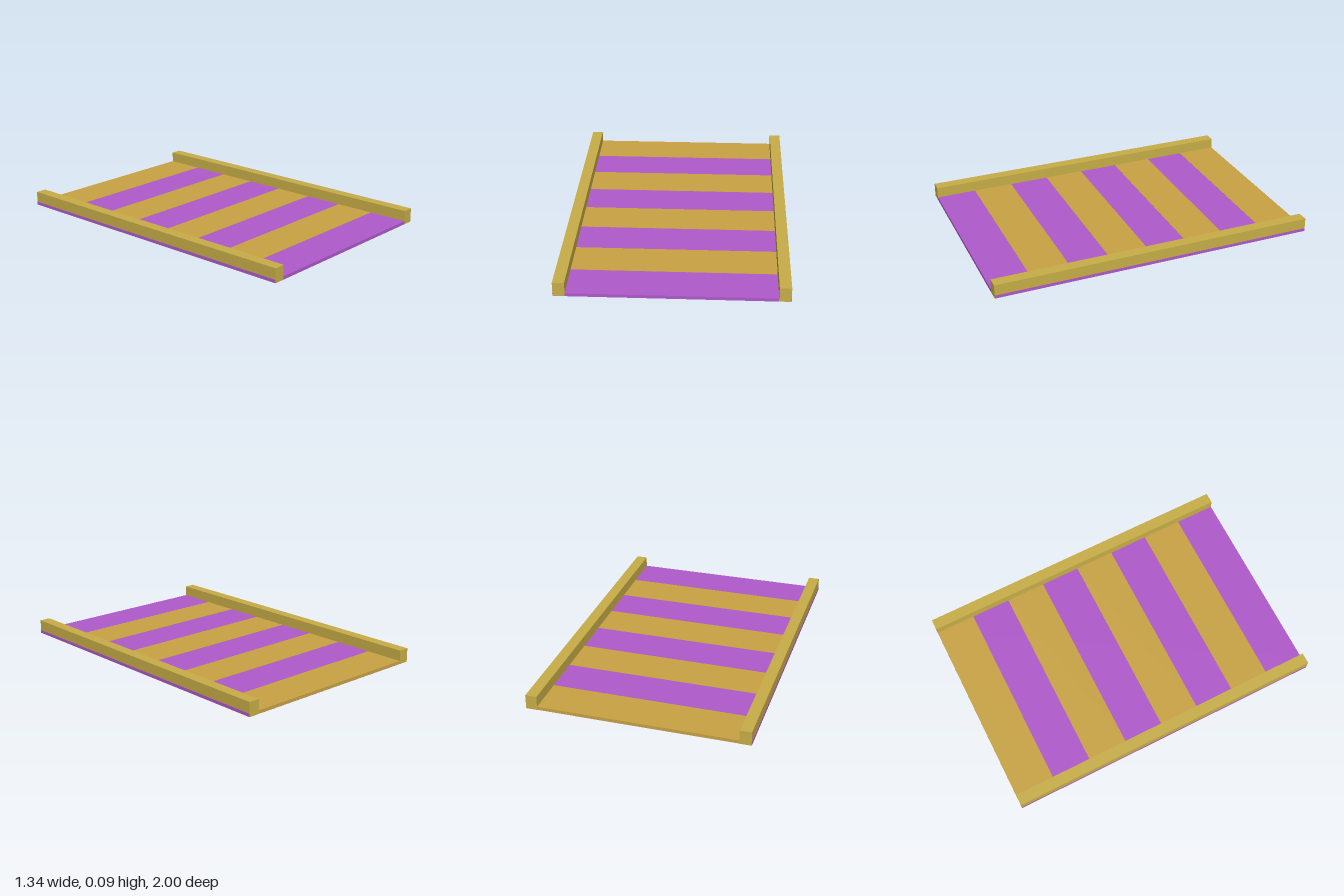
import * as THREE from 'three';

const purple = new THREE.MeshStandardMaterial({ color: 0xaf5acb });
const orange = new THREE.MeshStandardMaterial({ color: 0xc9a344 });
const yellow = new THREE.MeshStandardMaterial({ color: 0xc8ae48 });

// Box given by its lower and upper corners
function box(name, material, [x0, y0, z0], [x1, y1, z1]) {
  const mesh = new THREE.Mesh(new THREE.BoxGeometry(x1 - x0, y1 - y0, z1 - z0), material);
  mesh.position.set((x0 + x1) / 2, (y0 + y1) / 2, (z0 + z1) / 2);
  mesh.name = name;
  return mesh;
}

export function createModel() {
  const group = new THREE.Group();
  group.name = 'stripedPanel';

  const inner = 0.6, outer = 0.67, deck = 0.02, railTop = 0.087;

  // Flat deck between the rails
  group.add(box('deck', purple, [-inner, 0, -0.999], [inner, deck, 1]));

  // Four crosswise stripes laid into the deck
  for (let i = 0; i < 4; i++) {
    const z = -1 + i * 0.5;
    group.add(box('stripe' + (i + 1), orange, [-inner, 0.001, z], [inner, deck + 0.001, z + 0.25]));
  }

  // Side rails, each with a thin trim along its outer foot
  for (const [side, s] of [['left', 1], ['right', -1]]) {
    const span = (a, b) => [Math.min(s * a, s * b), Math.max(s * a, s * b)];
    const [r0, r1] = span(inner, outer - 0.001);
    group.add(box(side + 'Rail', yellow, [r0, 0, -1], [r1, railTop, 1]));
    const [t0, t1] = span(outer - 0.004, outer);
    group.add(box(side + 'Trim', purple, [t0, 0.001, -0.999], [t1, deck, 0.999]));
  }

  return group;
}
